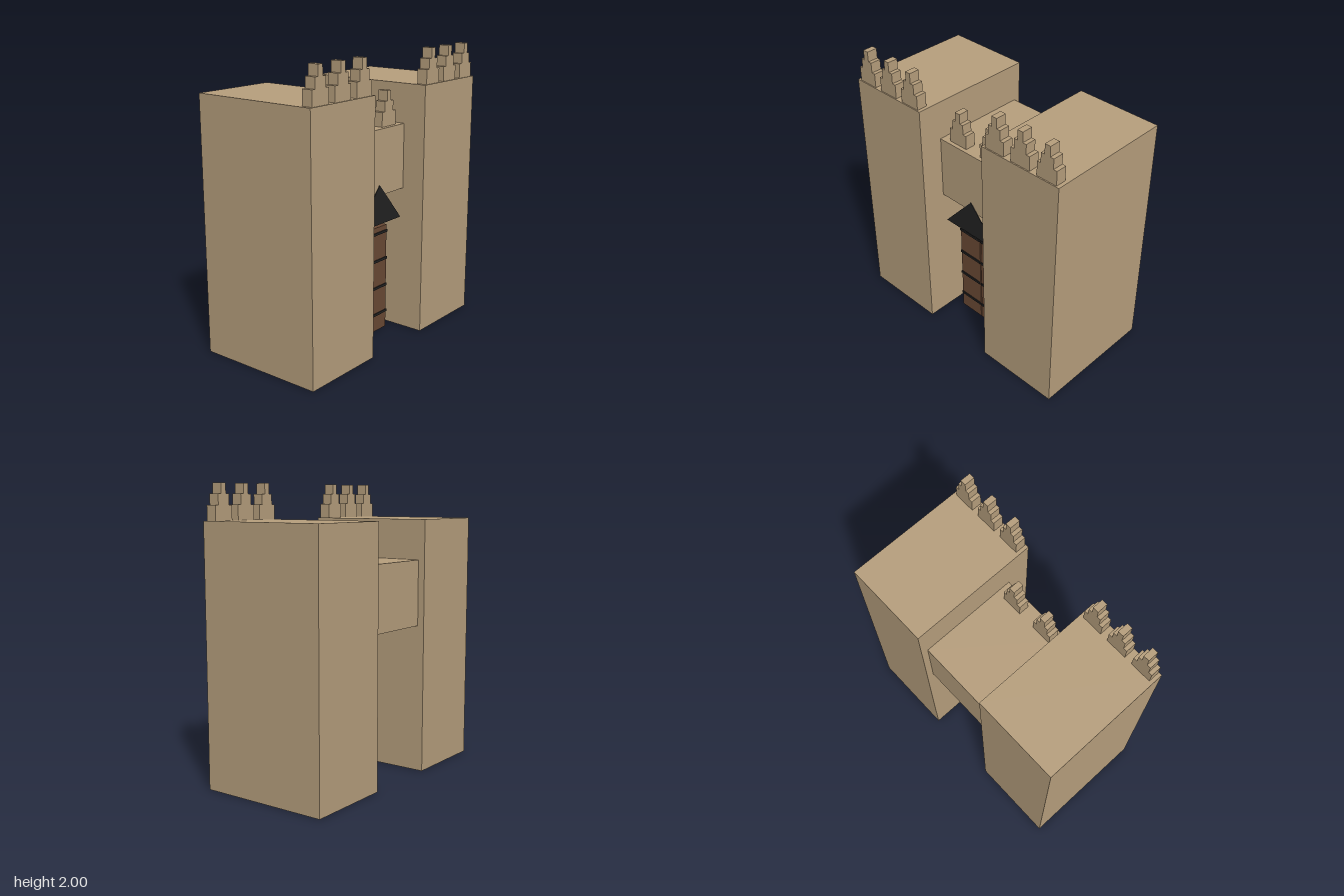
import * as THREE from 'three';

const sandstone = new THREE.MeshStandardMaterial({ color: 0xb8a07e, name: 'sandstone' });
const wood = new THREE.MeshStandardMaterial({ color: 0x6b4a35, name: 'wood' });
const iron = new THREE.MeshStandardMaterial({ color: 0x222222, name: 'iron' });

// Box given by its limits on each axis
function block(name, material, [x0, x1], [y0, y1], [z0, z1]) {
  const mesh = new THREE.Mesh(new THREE.BoxGeometry(x1 - x0, y1 - y0, z1 - z0), material);
  mesh.position.set((x0 + x1) / 2, (y0 + y1) / 2, (z0 + z1) / 2);
  mesh.name = name;
  return mesh;
}

// Stepped battlement: one silhouette extruded along z
function merlon(x, y, z) {
  const right = [[0.075, 0], [0.075, 0.1], [0.048, 0.1], [0.048, 0.17], [0.021, 0.17], [0.021, 0.24]];
  const left = right.map(([px, py]) => [-px, py]).reverse();
  const shape = new THREE.Shape([...right, ...left].map(([px, py]) => new THREE.Vector2(px, py)));
  const mesh = new THREE.Mesh(
    new THREE.ExtrudeGeometry(shape, { depth: 0.075, bevelEnabled: false }), sandstone);
  mesh.position.set(x, y, z);
  mesh.name = 'merlon';
  return mesh;
}

export function createModel() {
  const gate = new THREE.Group();
  gate.name = 'gatehouse';

  for (const side of [-1, 1]) {
    const label = side > 0 ? 'left' : 'right';
    const span = (a, b) => (side > 0 ? [a, b] : [-b, -a]);

    // Tower with three battlements along its front edge
    const tower = new THREE.Group();
    tower.name = label + 'Tower';
    tower.add(block('towerBody', sandstone, span(0.277, 0.889), [0, 1.76], [-0.46, 0.46]));
    for (const x of [0.377, 0.583, 0.789]) tower.add(merlon(side * x, 1.76, 0.377));
    gate.add(tower);

    // Door leaf with four iron bands on the front
    const door = new THREE.Group();
    door.name = label + 'Door';
    door.add(block('doorLeaf', wood, span(0.004, 0.195), [0, 0.77], [0.175, 0.215]));
    for (const y of [0.125, 0.325, 0.525, 0.725]) {
      door.add(block('doorBand', iron, span(0.004, 0.197), [y - 0.009, y + 0.009], [0.213, 0.222]));
    }
    gate.add(door);

    // Battlement on the bridge
    gate.add(merlon(side * 0.138, 1.485, 0.19));
  }

  // Bridge between the towers
  gate.add(block('bridge', sandstone, [-0.277, 0.277], [1.03, 1.485], [-0.412, 0.293]));

  // Thin triangular gable over the doors
  const triangle = new THREE.Shape([
    new THREE.Vector2(-0.243, 0.83), new THREE.Vector2(0.243, 0.83), new THREE.Vector2(0, 1.105)]);
  const gable = new THREE.Mesh(
    new THREE.ExtrudeGeometry(triangle, { depth: 0.004, bevelEnabled: false }), iron);
  gable.position.z = 0.294;
  gable.name = 'gable';
  gate.add(gable);

  return gate;
}
